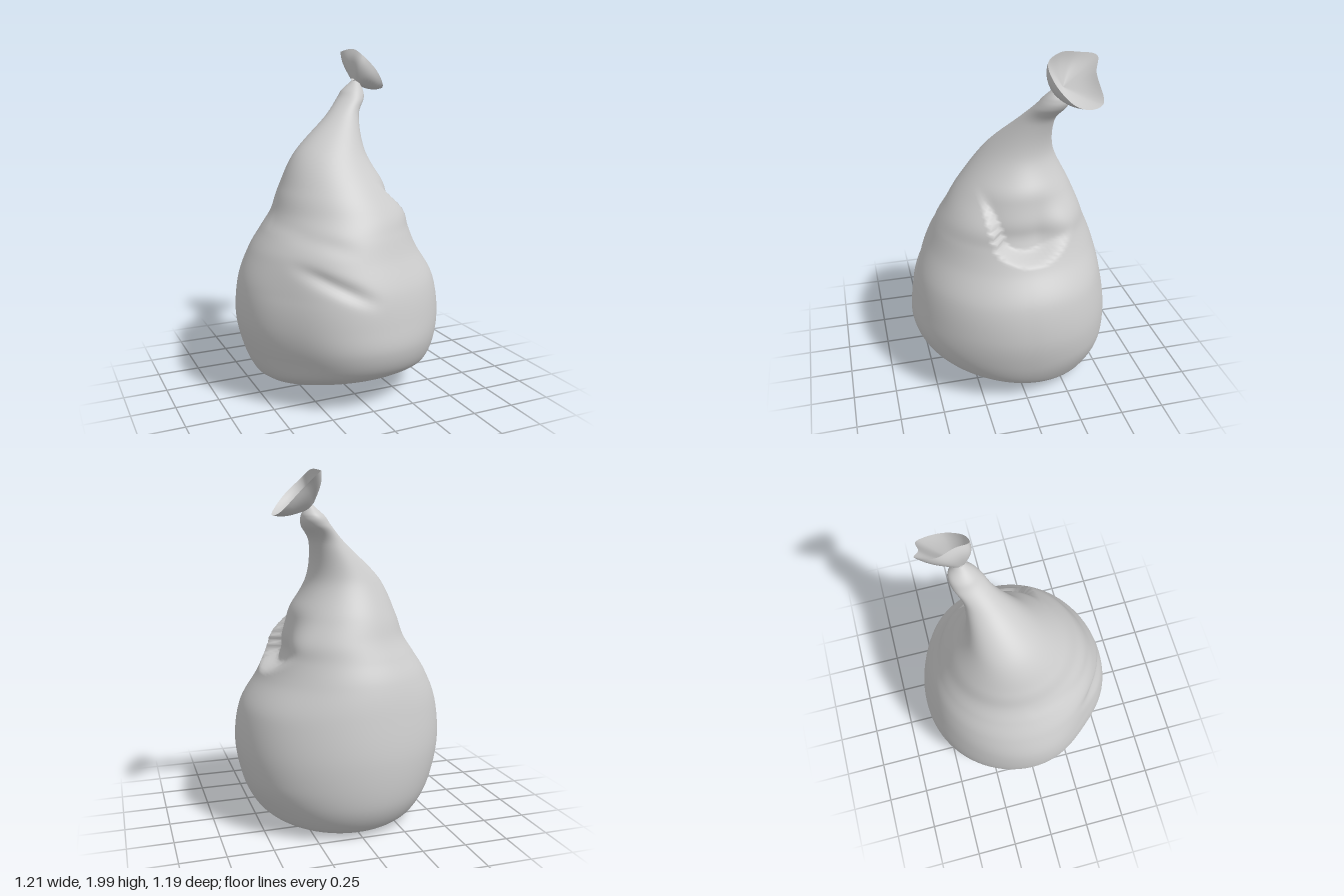
import * as THREE from 'three';

const { smoothstep } = THREE.MathUtils;

// Joins closed rings of points, listed bottom to top, into one smooth surface.
function loft(rings) {
  const n = rings[0].length, pos = [], idx = [];
  rings.forEach(r => r.forEach(p => pos.push(p.x, p.y, p.z)));
  for (let i = 0; i < rings.length - 1; i++) {
    for (let j = 0; j < n; j++) {
      const a = i * n + j, b = i * n + (j + 1) % n;
      idx.push(a, a + n, b + n, a, b + n, b);
    }
  }
  const g = new THREE.BufferGeometry();
  g.setAttribute('position', new THREE.Float32BufferAttribute(pos, 3));
  g.setIndex(idx);
  g.computeVertexNormals();
  return g;
}

// Body sections: height, forward tilt, then left, right, front and back extents.
const SECTIONS = [
  [0.078, 0.075, -0.42, 0.45, 0.42, -0.42],
  [0.145, 0.09, -0.5, 0.52, 0.54, -0.51],
  [0.28, 0.085, -0.565, 0.575, 0.595, -0.58],
  [0.47, 0.04, -0.61, 0.603, 0.585, -0.59],
  [0.68, 0, -0.595, 0.57, 0.55, -0.55],
  [0.85, 0, -0.525, 0.472, 0.48, -0.505],
  [0.97, 0, -0.45, 0.42, 0.43, -0.455],
  [1.07, 0, -0.385, 0.395, 0.375, -0.415],
  [1.2, 0, -0.335, 0.305, 0.29, -0.36],
  [1.4, 0, -0.23, 0.195, 0.13, -0.265],
  [1.6, 0, -0.01, 0.195, -0.04, -0.24],
  [1.7, 0, 0.09, 0.255, -0.11, -0.285],
  [1.75, 0, 0.13, 0.262, -0.145, -0.288],
  [1.79, 0, 0.175, 0.245, -0.18, -0.258],
  [1.81, 0, 0.195, 0.235, -0.2, -0.24],
];

// Smooth interpolation of a section at t from 0 to 1.
function section(t) {
  const f = t * (SECTIONS.length - 1), i = Math.min(Math.floor(f), SECTIONS.length - 2), u = f - i;
  const at = k => SECTIONS[Math.max(0, Math.min(SECTIONS.length - 1, k))];
  return SECTIONS[0].map((_, c) => {
    const [a, b, d, e] = [at(i - 1)[c], at(i)[c], at(i + 1)[c], at(i + 2)[c]];
    return b + 0.5 * u * (d - a + u * (2 * a - 5 * b + 4 * d - e + u * (3 * (b - d) + e - a)));
  });
}

// Sagging pocket on the left side: its lip curves up, steeply towards the front.
function pocket(p) {
  if (p.x < 0) return 0;
  const u = (p.z + 0.04) / 0.24;
  const lip = 0.885 + 0.09 * u * u + 0.25 * smoothstep(u, 0.65, 1.1);
  const open = smoothstep(p.y - lip, -0.01, 0.045) * (1 - smoothstep(p.y, 1.0, 1.27));
  return 0.09 * open * smoothstep(p.z, -0.32, -0.1) * (1 - smoothstep(p.z, 0.15, 0.24));
}

// Soft crease on the front along a line from (x0, y0) to (x1, y1).
function crease(p, x0, y0, x1, y1, depth, width) {
  if (p.z < 0) return 0;
  const dx = x1 - x0, dy = y1 - y0, len = Math.hypot(dx, dy);
  const t = ((p.x - x0) * dx + (p.y - y0) * dy) / (len * len);
  const d = ((p.y - y0) * dx - (p.x - x0) * dy) / len;
  const along = smoothstep(t, -0.1, 0.35) * (1 - smoothstep(t, 0.55, 1.1));
  return depth * along * Math.exp(-((d / width) ** 2));
}

// Flattened front corner on the right and a slight swelling opposite it.
function lean(y, angle) {
  const corner = centre => Math.exp(-(((angle - centre) / 0.42) ** 2));
  const belly = smoothstep(y, 0.12, 0.3) * (1 - smoothstep(y, 0.65, 0.9));
  return belly * (0.035 * corner(Math.PI * 0.78) - 0.016 * corner(Math.PI * 1.8));
}

function bodyGeometry() {
  const rows = 140, sides = 96, rings = [];
  for (let i = 0; i <= rows; i++) {
    const [y, tilt, l, r, f, b] = section(i / rows);
    const cx = (l + r) / 2, cz = (f + b) / 2, rx = (r - l) / 2, rz = (f - b) / 2;
    const ring = [];
    for (let j = 0; j < sides; j++) {
      const a = j / sides * Math.PI * 2, c = Math.cos(a), s = Math.sin(a);
      const p = new THREE.Vector3(cx + rx * c, y + tilt * s, cz + rz * s);
      const dent = pocket(p) + lean(p.y, a)
        + crease(p, -0.4, 0.83, 0, 0.64, 0.024, 0.04)
        + crease(p, -0.45, 1.02, -0.05, 0.9, 0.008, 0.05);
      p.x -= dent * c;
      p.z -= dent * s;
      ring.push(p);
    }
    rings.push(ring);
  }
  return loft(rings);
}

// Wavy rim of the flared tip.
const RIM = new THREE.CatmullRomCurve3([
  [0.21, 1.995, -0.23], [0.185, 1.985, -0.33], [0.22, 1.97, -0.425], [0.29, 1.9, -0.4], [0.415, 1.775, -0.4],
  [0.44, 1.755, -0.33], [0.425, 1.775, -0.25], [0.335, 1.87, -0.165], [0.24, 1.955, -0.155],
].map(p => new THREE.Vector3(...p)), true).getPoints(54).slice(0, 54);
const RIM_CENTRE = new THREE.Vector3(0.31, 1.88, -0.29);
const THROAT = new THREE.Vector3(0.217, 1.8, -0.222);

// Surface from a small ring around a start point out to the rim, swelling on the way.
function flare(start, radius, swell) {
  const rings = [];
  for (let i = 0; i <= 12; i++) {
    const t = i / 12;
    rings.push(RIM.map(p => {
      const out = p.clone().sub(RIM_CENTRE).normalize();
      return start.clone().addScaledVector(out, radius).lerp(p, t)
        .addScaledVector(out, swell * Math.sin(Math.PI * t));
    }));
  }
  return loft(rings);
}

export function createModel() {
  const group = new THREE.Group();
  group.name = 'softHat';
  const grey = new THREE.MeshStandardMaterial({ color: 0xcccccc, side: THREE.DoubleSide });
  grey.name = 'lightGrey';
  const add = (name, geometry) => {
    const mesh = new THREE.Mesh(geometry, grey);
    mesh.name = name;
    group.add(mesh);
  };
  add('saggingBody', bodyGeometry());
  add('flaredTip', flare(THROAT, 0.03, 0.022));
  add('tipLining', flare(THROAT.clone().lerp(RIM_CENTRE, 0.25), 0, 0.02));
  return group;
}
